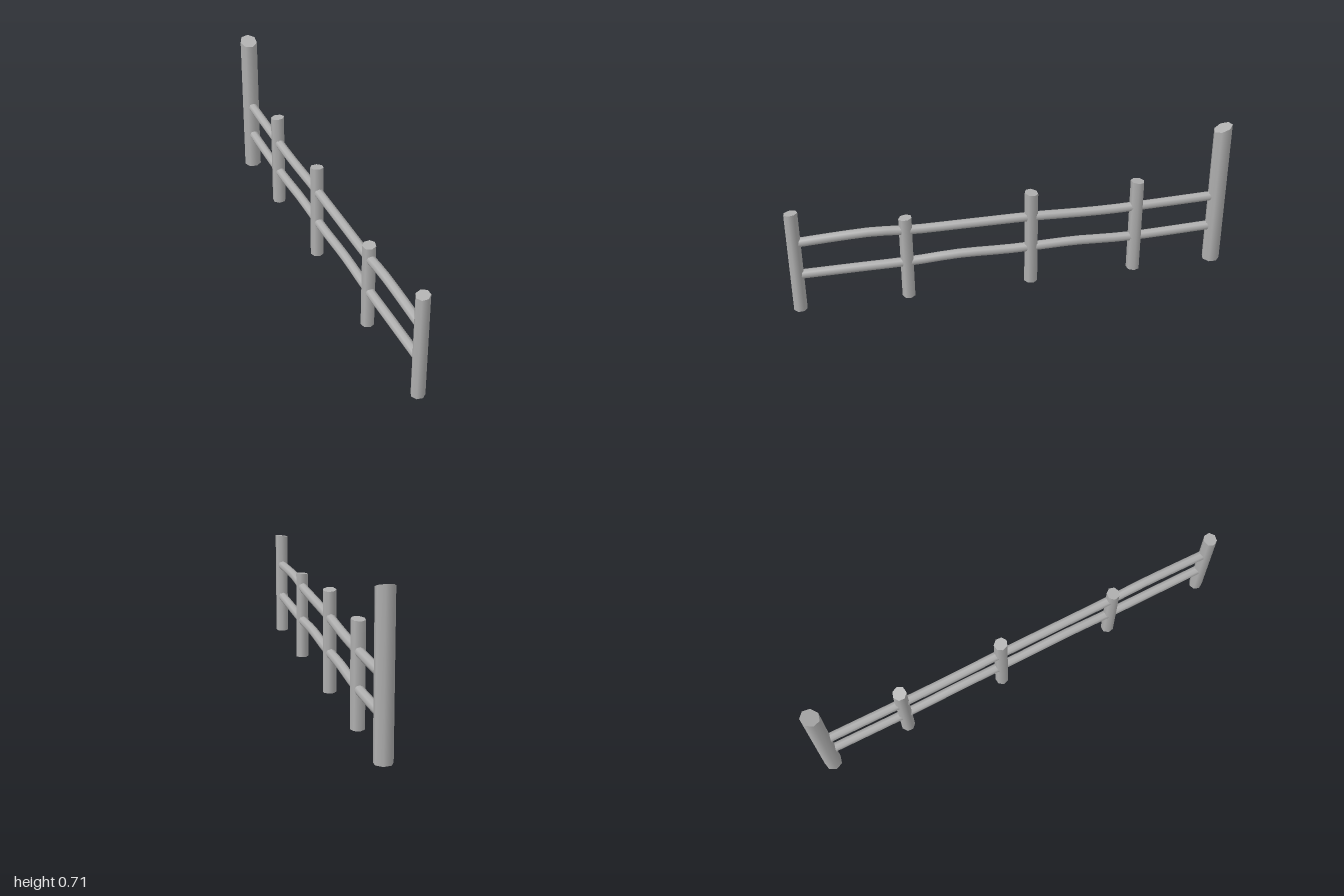
import * as THREE from 'three';

// Round log post whose top is cut on a slant (slopes along x and z)
function postGeometry(radius, height, slopeX, slopeZ, turn) {
  const g = new THREE.CylinderGeometry(radius, radius, height, 7, 1, false, turn);
  g.translate(0, height / 2, 0);
  const p = g.attributes.position, n = g.attributes.normal;
  const up = new THREE.Vector3(-slopeX, 1, -slopeZ).normalize();
  for (let i = 0; i < p.count; i++) {
    if (p.getY(i) < height / 2) continue;
    p.setY(i, height + slopeX * p.getX(i) + slopeZ * p.getZ(i));
    if (n.getY(i) > 0.5) n.setXYZ(i, up.x, up.y, up.z);
  }
  return g;
}

// Slightly wavy rail through [z, y] points
function railGeometry(points) {
  const curve = new THREE.CatmullRomCurve3(points.map(([z, y]) => new THREE.Vector3(0, y, z)));
  return new THREE.TubeGeometry(curve, 24, 0.0215, 8, false);
}

export function createModel() {
  const group = new THREE.Group();
  const wood = new THREE.MeshStandardMaterial({ color: 0xb0b0b0 });
  wood.name = 'greyWood';

  const add = (name, geometry, z = 0) => {
    const mesh = new THREE.Mesh(geometry, wood);
    mesh.name = name;
    mesh.position.z = z;
    group.add(mesh);
  };

  // Posts: name, z, radius, height, slopes of the top, turn
  const posts = [
    ['frontPost', 0.972, 0.031, 0.503, 0.14, -0.1, 0.3],
    ['shortPost', 0.482, 0.030, 0.415, 0.08, -0.1, 0.9],
    ['middlePost', -0.085, 0.031, 0.471, -0.05, 0.12, 0.1],
    ['rearPost', -0.577, 0.032, 0.469, 0.05, 0.12, 0.6],
    ['tallEndPost', -0.961, 0.041, 0.698, 0.04, -0.38, 0.2],
  ];
  for (const [name, z, r, h, sx, sz, turn] of posts) add(name, postGeometry(r, h, sx, sz, turn), z);

  // Rails run from the front post to the tall post
  add('upperRail', railGeometry([
    [0.97, 0.35], [0.8, 0.358], [0.62, 0.362], [0.46, 0.35], [0.2, 0.348],
    [-0.1, 0.346], [-0.3, 0.338], [-0.45, 0.335], [-0.6, 0.337], [-0.96, 0.346]]));
  add('lowerRail', railGeometry([
    [0.97, 0.184], [0.7, 0.184], [0.46, 0.184], [0.25, 0.193], [0, 0.185],
    [-0.3, 0.187], [-0.45, 0.179], [-0.58, 0.176], [-0.96, 0.186]]));

  return group;
}
